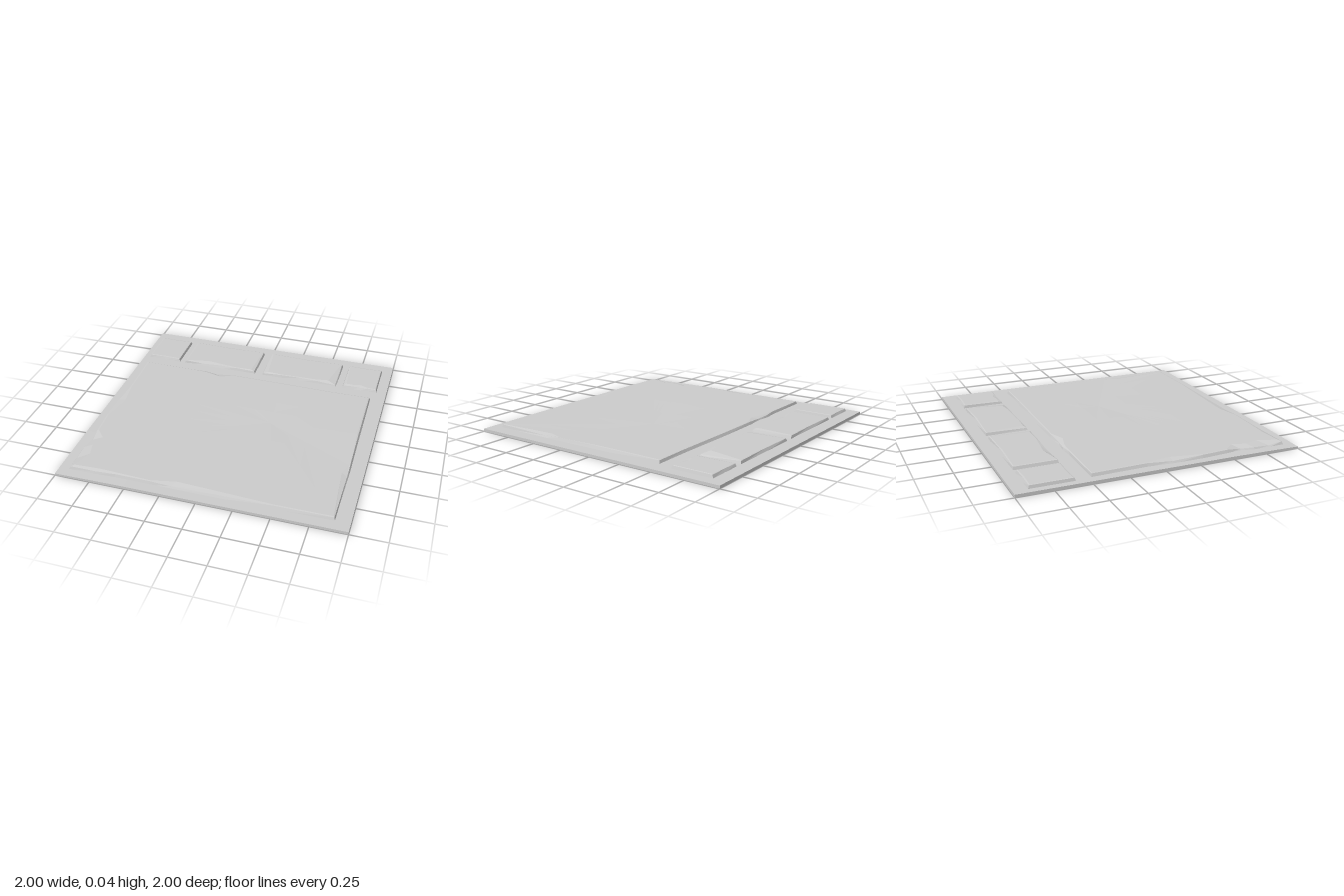
import * as THREE from 'three';

const BASE_TOP = 0.02, STONE_TOP = 0.042;
const material = new THREE.MeshStandardMaterial({ color: 0xcccccc, flatShading: true });

// Stacks closed rings from the outside in and closes them with a fan to the centre.
function loft(rings, centre) {
  const n = rings[0].length;
  const positions = [...rings.flat(), centre].flat();
  const index = [];
  rings.forEach((ring, r) => {
    for (let i = 0; i < n; i++) {
      const j = (i + 1) % n, a = r * n, b = a + n;
      if (r === rings.length - 1) index.push(a + i, a + j, b);
      else index.push(a + i, a + j, b + j, a + i, b + j, b + i);
    }
  });
  const geometry = new THREE.BufferGeometry();
  geometry.setAttribute('position', new THREE.Float32BufferAttribute(positions, 3));
  geometry.setIndex(index);
  geometry.computeVertexNormals();
  return geometry;
}

// A raised slab. Outline points are [x, z, chip], anticlockwise from above;
// chip is how far a broken edge reaches into the top face.
function stone(name, outline, centre, relief = () => 0) {
  const [cx, cz] = centre;
  const ringAt = (inset, height) => outline.map(([x, z, chip = 0]) => {
    const dx = cx - x, dz = cz - z;
    const d = inset(chip);
    // Pull in on both axes near a corner, otherwise along the line to the centre
    const len = Math.hypot(dx, dz);
    const px = x + dx / len * d, pz = z + dz / len * d;
    return [px, height(chip, px, pz), pz];
  });
  const topAt = (x, z) => STONE_TOP + relief(x, z);
  const rings = [
    ringAt(() => 0, () => BASE_TOP - 0.005),
    ringAt(() => 0.012, (chip) => STONE_TOP - 0.002 - Math.min(0.016, chip * 0.2)),
    ringAt((chip) => 0.022 + chip, (chip, x, z) => topAt(x, z)),
  ];
  // Inner rings carry the worn relief of the top face
  for (const t of [0.25, 0.5, 0.75]) {
    rings.push(rings[2].map(([x, , z]) => {
      const px = x + (cx - x) * t, pz = z + (cz - z) * t;
      return [px, topAt(px, pz), pz];
    }));
  }
  const mesh = new THREE.Mesh(loft(rings, [cx, topAt(cx, cz), cz]), material);
  mesh.name = name;
  return mesh;
}

// Distance from a point to a segment in plan
function segmentDistance(x, z, [ax, az], [bx, bz]) {
  const ux = bx - ax, uz = bz - az;
  const t = THREE.MathUtils.clamp(((x - ax) * ux + (z - az) * uz) / (ux * ux + uz * uz), 0, 1);
  return Math.hypot(x - ax - ux * t, z - az - uz * t);
}

export function createModel() {
  const group = new THREE.Group();
  group.name = 'stoneFloorTile';

  // Square backing plate with a slightly sunken front left corner
  const plate = new THREE.BoxGeometry(2, BASE_TOP, 2, 8, 1, 8).translate(0, BASE_TOP / 2, 0);
  const p = plate.attributes.position;
  for (let i = 0; i < p.count; i++) {
    if (p.getY(i) < 0.01) continue;
    const worn = Math.max(0, 1 - Math.hypot(p.getX(i) + 1, p.getZ(i) - 1) / 0.4);
    p.setY(i, BASE_TOP - 0.006 * worn);
  }
  const base = new THREE.Mesh(plate, material);
  base.name = 'basePlate';
  group.add(base);

  // Large stone with a bent crease across its top
  const peak = [0.25, 0.05];
  const crease = (x, z) => {
    const d = Math.min(segmentDistance(x, z, peak, [-0.1, 0.22]), segmentDistance(x, z, peak, [0.82, 0.38]));
    return -0.004 * Math.max(0, 1 - d / 0.16);
  };
  group.add(stone('largeStone', [
    [-0.93, 0.93, 0.02], [-0.75, 0.93, 0.03], [-0.6, 0.925, 0.01], [-0.35, 0.93], [-0.2, 0.93, 0.04],
    [0.1, 0.93, 0.02], [0.5, 0.93], [0.9, 0.925],
    [0.905, 0.5, 0.04], [0.905, 0.38], [0.9, 0], [0.895, -0.49],
    [0.6, -0.49], [0.2, -0.5], [-0.2, -0.5], [-0.35, -0.49, 0.05], [-0.45, -0.5, 0.02], [-0.55, -0.49], [-0.94, -0.49],
    [-0.93, -0.1], [-0.945, 0.08, 0.04], [-0.945, 0.3], [-0.93, 0.5], [-0.92, 0.6, 0.06], [-0.94, 0.7, 0.05], [-0.935, 0.82, 0.08],
  ], peak, crease));

  // Row of four smaller stones along the back: name, x range, chips along the front edge
  const row = [
    ['leftEndStone', -0.955, -0.69, [0, 0, 0, 0, 0]],
    ['leftLongStone', -0.65, -0.05, [0, 0.04, 0.01, 0, 0.02]],
    ['rightLongStone', 0.005, 0.61, [0.03, 0, 0, 0.01, 0.06]],
    ['rightEndStone', 0.655, 0.925, [0.02, 0.01, 0.02, 0, 0]],
  ];
  for (const [name, x0, x1, chips] of row) {
    const front = chips.map((chip, i) => [x0 + (x1 - x0) * i / 4, -0.595, chip]);
    const back = [1, 0.5, 0].map((t) => [x0 + (x1 - x0) * t, -0.905]);
    group.add(stone(name, [...front, ...back], [(x0 + x1) / 2, -0.75]));
  }
  return group;
}
